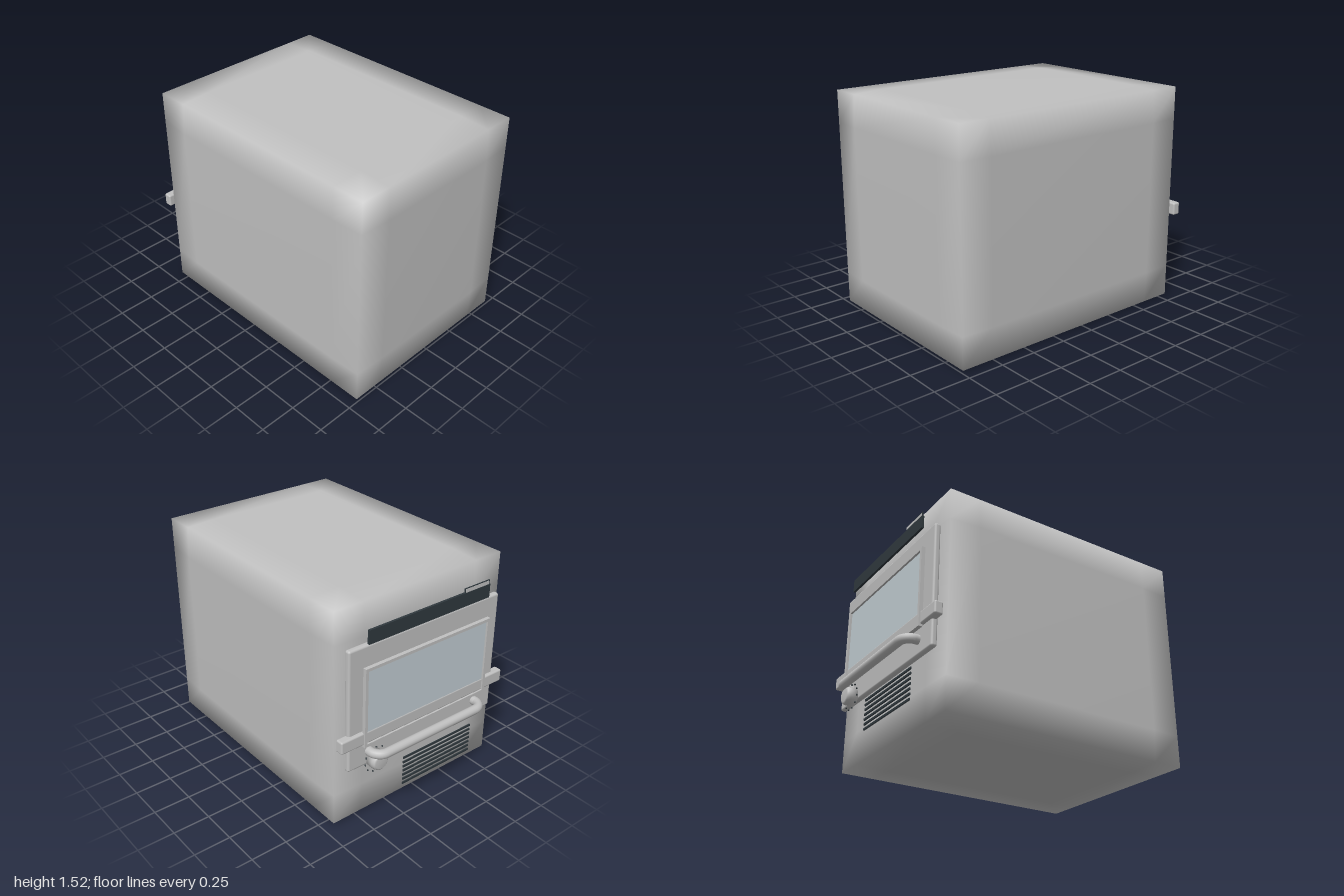
import * as THREE from 'three';
import { mergeVertices } from 'three/addons/utils/BufferGeometryUtils.js';
import { RoundedBoxGeometry } from 'three/addons/geometries/RoundedBoxGeometry.js';

const mat = (name, color) => {
  const m = new THREE.MeshStandardMaterial({ color });
  m.name = name;
  return m;
};

// Box with one inset loop near every edge, slightly bulging faces and shared smooth normals
function bodyGeometry() {
  const half = [0.683, 0.761, 0.91], inset = 0.23, pinch = 0.011;
  let g = new THREE.BoxGeometry(2, 2, 2, 3, 3, 3);
  g.deleteAttribute('uv');
  g.deleteAttribute('normal');
  g = mergeVertices(g);
  const p = g.attributes.position;
  for (let i = 0; i < p.count; i++) {
    const v = [p.getX(i), p.getY(i), p.getZ(i)];
    const outer = v.filter((c) => Math.abs(c) > 0.9).length;
    const w = v.map((c, k) => {
      const onFace = Math.abs(c) > 0.9;
      const d = onFace ? half[k] - (outer > 1 ? pinch : 0) : half[k] - inset;
      return Math.sign(c) * d;
    });
    p.setXYZ(i, w[0], w[1] + 0.761, w[2] + 0.09);
  }
  g.computeVertexNormals();
  return g;
}

// Flat rectangular frame with a rectangular hole
function frameGeometry(w, h, rim, depth) {
  const rect = (Type, a, b) => {
    const s = new Type();
    s.moveTo(-a, -b);
    s.lineTo(a, -b);
    s.lineTo(a, b);
    s.lineTo(-a, b);
    s.closePath();
    return s;
  };
  const shape = rect(THREE.Shape, w / 2, h / 2);
  shape.holes.push(rect(THREE.Path, w / 2 - rim, h / 2 - rim));
  return new THREE.ExtrudeGeometry(shape, { depth, bevelEnabled: false });
}

export function createModel() {
  const group = new THREE.Group();
  const metal = mat('brushed metal', 0xc0c0c0);
  const glass = mat('window glass', 0xc3ced4);
  const dark = mat('dark trim', 0x30393e);

  const add = (name, geometry, material, x = 0, y = 0, z = 0, parent = group) => {
    const mesh = new THREE.Mesh(geometry, material);
    mesh.name = name;
    mesh.position.set(x, y, z);
    parent.add(mesh);
    return mesh;
  };
  const box = (name, m, x, y, z, w, h, d, parent) =>
    add(name, new THREE.BoxGeometry(w, h, d), m, x, y, z, parent);

  // Housing
  add('body', bodyGeometry(), metal);

  // Door on the back side, with its cross bar and window
  add('doorPanel', new RoundedBoxGeometry(1.23, 0.845, 0.042, 3, 0.015), metal, 0, 0.843, -0.858);
  add('crossBar', new RoundedBoxGeometry(1.37, 0.088, 0.058, 3, 0.012), metal, 0, 0.64, -0.874);
  add('windowFrame', frameGeometry(1.03, 0.55, 0.02, 0.026), metal, 0, 0.856, -0.914);
  box('windowGlass', glass, 0, 0.856, -0.896, 1.0, 0.52, 0.008);

  // Control strip above the door with a small display
  box('controlStrip', dark, 0, 1.33, -0.9, 0.98, 0.092, 0.016);
  box('displayRim', dark, -0.38, 1.383, -0.9, 0.215, 0.044, 0.006);
  box('display', metal, -0.38, 1.385, -0.902, 0.2, 0.03, 0.006);

  // Handle rod with bent ends
  const path = new THREE.CurvePath();
  const pts = [[0.455, -0.85], [0.455, -0.91], [0.435, -0.968], [0.38, -0.968]]
    .map(([x, z]) => new THREE.Vector3(x, 0.52, z));
  const ends = [pts, pts.map((q) => new THREE.Vector3(-q.x, q.y, q.z)).reverse()];
  path.add(new THREE.LineCurve3(ends[0][0], ends[0][1]));
  path.add(new THREE.QuadraticBezierCurve3(ends[0][1], ends[0][2], ends[0][3]));
  path.add(new THREE.LineCurve3(ends[0][3], ends[1][0]));
  path.add(new THREE.QuadraticBezierCurve3(ends[1][0], ends[1][1], ends[1][2]));
  path.add(new THREE.LineCurve3(ends[1][2], ends[1][3]));
  add('handle', new THREE.TubeGeometry(path, 80, 0.031, 16), metal);

  // Knob with a ring of tick dots
  const knob = new THREE.Group();
  knob.name = 'knob';
  knob.position.set(0.41, 0.45, 0);
  group.add(knob);
  const profile = [[0, 0], [0.062, 0], [0.062, 0.05], [0.056, 0.068], [0.045, 0.075], [0, 0.075]]
    .map(([r, y]) => new THREE.Vector2(r, y));
  add('knobDial', new THREE.LatheGeometry(profile, 28), metal, 0, 0, -0.878, knob)
    .rotation.x = -Math.PI / 2;
  const dot = new THREE.SphereGeometry(0.006, 8, 6);
  for (let i = 0; i < 11; i++) {
    const a = (i / 11) * Math.PI * 2;
    add('tickDot', dot, dark, Math.sin(a) * 0.088, Math.cos(a) * 0.088, -0.9, knob);
  }

  // Ventilation slats below the door
  for (let i = 0; i < 7; i++) {
    box('ventSlat', dark, -0.12, 0.148 + i * 0.033, -0.9, 0.6, 0.014, 0.008);
  }
  return group;
}
